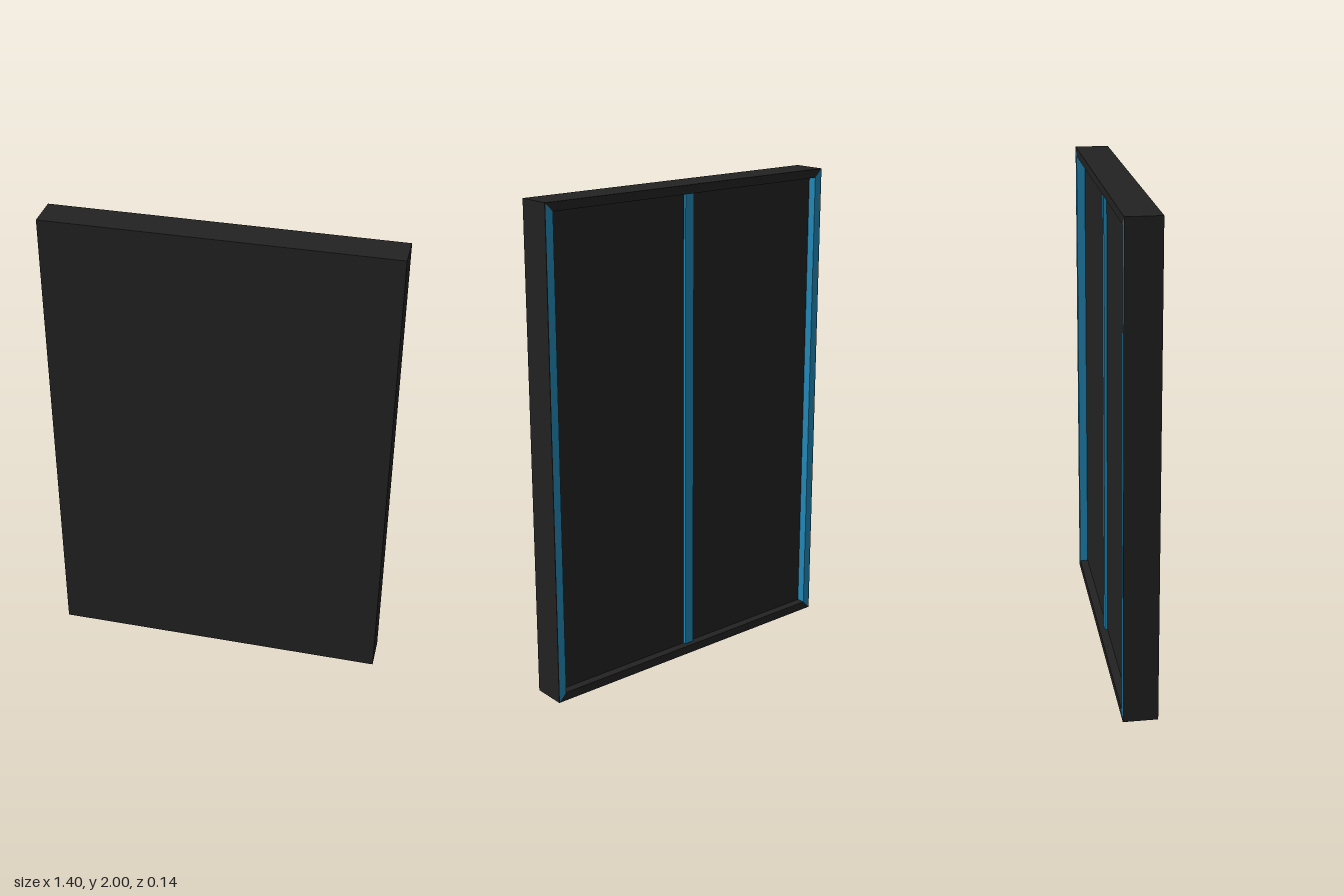
import * as THREE from 'three';

const W = 1.4, H = 2, D = 0.14;   // overall size
const WALL = 0.003;               // thin outer skin
const LIP = 0.032;                // width of the rear frame bars
const RECESS = 0.035;             // depth of the rear recess

export function createModel() {
  const group = new THREE.Group();
  const dark = new THREE.MeshStandardMaterial({ color: 0x222222 });
  const blue = new THREE.MeshStandardMaterial({ color: 0x2288b8 });

  const add = (name, geometry, material, x, y, z) => {
    const mesh = new THREE.Mesh(geometry, material);
    mesh.name = name;
    mesh.position.set(x, y, z);
    group.add(mesh);
    return mesh;
  };

  // solid front panel
  add('frontPanel', new THREE.BoxGeometry(W, H, D - RECESS), dark, 0, H / 2, RECESS / 2);

  // thin skin around the rear recess
  const rect = (Type, w, h) => new Type([
    new THREE.Vector2(-w / 2, -h / 2), new THREE.Vector2(w / 2, -h / 2),
    new THREE.Vector2(w / 2, h / 2), new THREE.Vector2(-w / 2, h / 2),
  ]);
  const skin = rect(THREE.Shape, W, H);
  skin.holes.push(rect(THREE.Path, W - 2 * WALL, H - 2 * WALL));
  const depth = { depth: RECESS, bevelEnabled: false };
  add('rearSkin', new THREE.ExtrudeGeometry(skin, depth), dark, 0, H / 2, -D / 2);

  // mitred frame bar lying along x, with its outer edge on y = 0
  const bar = (length) => new THREE.ExtrudeGeometry(new THREE.Shape([
    new THREE.Vector2(-length / 2, 0), new THREE.Vector2(length / 2, 0),
    new THREE.Vector2(length / 2 - LIP, LIP), new THREE.Vector2(-length / 2 + LIP, LIP),
  ]), depth);
  const w = W - 2 * WALL, h = H - 2 * WALL;
  add('bottomBar', bar(w), dark, 0, WALL, -D / 2);
  add('topBar', bar(w), dark, 0, H - WALL, -D / 2).rotation.z = Math.PI;
  add('leftBar', bar(h), blue, w / 2, H / 2, -D / 2).rotation.z = Math.PI / 2;
  add('rightBar', bar(h), blue, -w / 2, H / 2, -D / 2).rotation.z = -Math.PI / 2;

  // upright brace in the middle of the recess
  add('centreBrace', new THREE.BoxGeometry(0.042, H - 2 * (WALL + LIP), 0.012), blue,
    0, H / 2, -D / 2 + RECESS - 0.006);

  return group;
}
